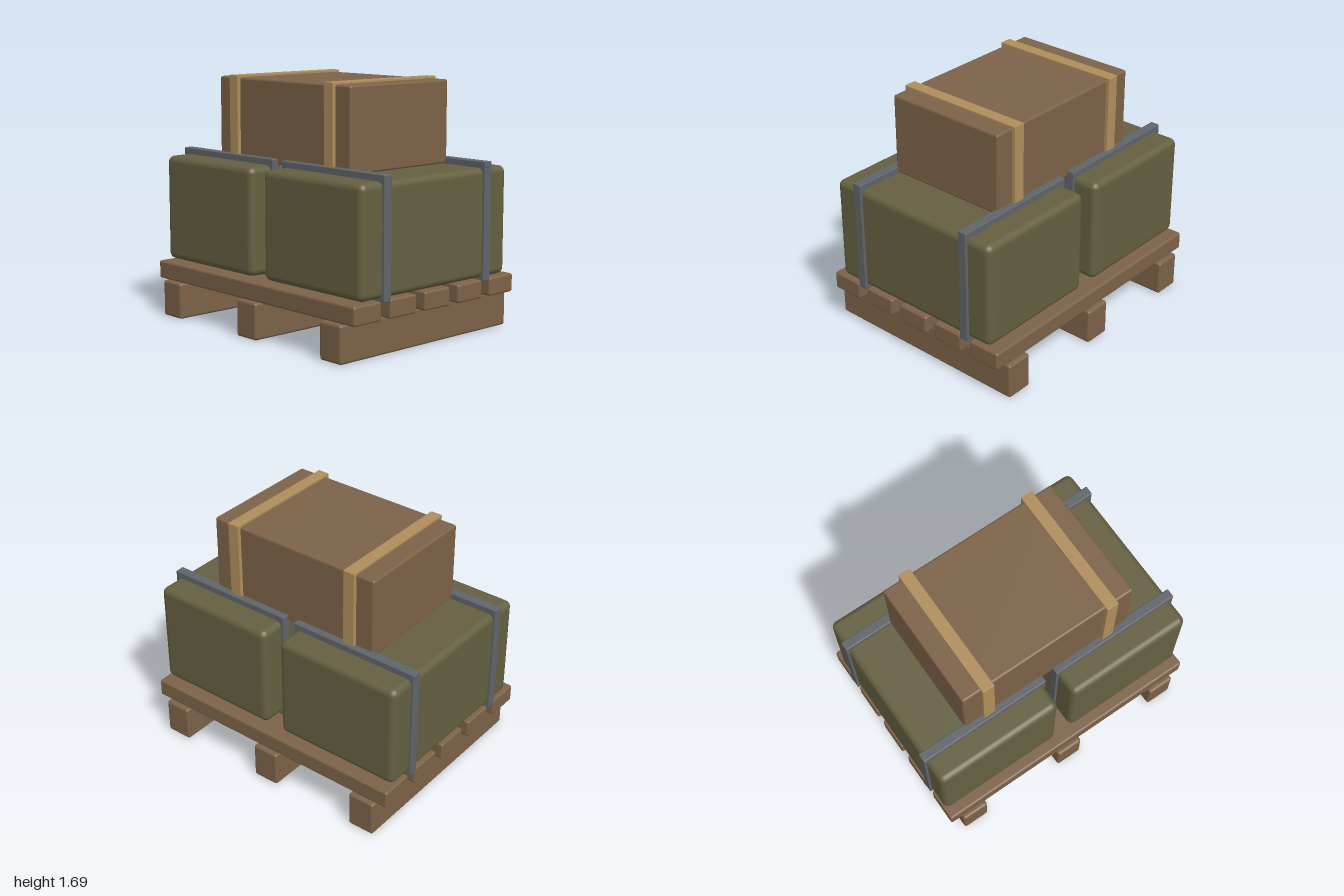
import * as THREE from 'three';
import { RoundedBoxGeometry } from 'three/addons/geometries/RoundedBoxGeometry.js';

const material = (name, color) => {
  const m = new THREE.MeshStandardMaterial({ color });
  m.name = name;
  return m;
};

export function createModel() {
  const wood = material('brown wood', 0x7d6248);
  const canvas = material('olive green', 0x656041);
  const steel = material('grey steel', 0x60656a);
  const webbing = material('tan strap', 0xb08e5c);

  const model = new THREE.Group();
  model.name = 'loadedPallet';

  // Softened box given by its size and centre
  const box = (parent, name, mat, size, centre, radius) => {
    const mesh = new THREE.Mesh(new RoundedBoxGeometry(...size, 3, radius), mat);
    mesh.name = name;
    mesh.position.set(...centre);
    parent.add(mesh);
  };
  const group = (name) => {
    const g = new THREE.Group();
    g.name = name;
    model.add(g);
    return g;
  };

  // Pallet: three runners under five cross slats
  const pallet = group('pallet');
  for (const x of [-0.808, 0, 0.808]) {
    box(pallet, 'runner', wood, [0.195, 0.25, 1.54], [x, 0.125, 0], 0.018);
  }
  for (let i = -2; i <= 2; i++) {
    box(pallet, 'slat', wood, [1.985, 0.125, 0.236], [0, 0.312, i * 0.311], 0.015);
  }

  // Two lower cases, each held by a pair of steel bands
  for (const side of [-1, 1]) {
    const lower = group(side > 0 ? 'leftCase' : 'rightCase');
    const x = side * 0.521;
    box(lower, 'caseBody', canvas, [0.922, 0.73, 1.34], [x, 0.748, 0], 0.045);
    for (const z of [-0.462, 0.462]) {
      box(lower, 'steelBand', steel, [0.957, 0.792, 0.066], [x, 0.76, z], 0.006);
    }
  }

  // Upper crate with two straps
  const upper = group('upperCrate');
  box(upper, 'crateBody', wood, [1.298, 0.56, 0.894], [0, 1.395, 0], 0.015);
  for (const x of [-0.472, 0.472]) {
    box(upper, 'strap', webbing, [0.085, 0.58, 0.944], [x, 1.4, 0], 0.003);
  }

  return model;
}
